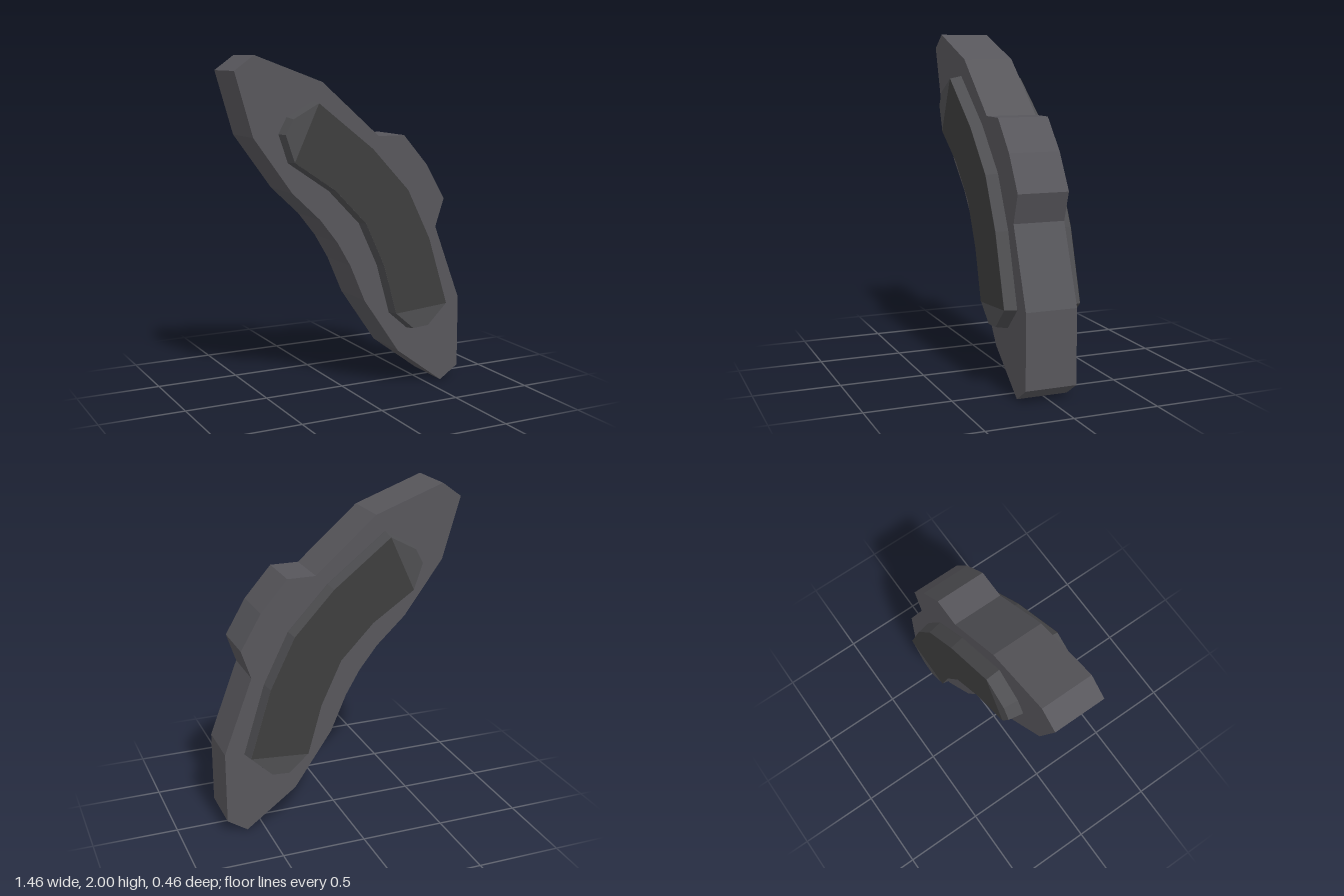
import * as THREE from 'three';

const shapeOf = (pts) => new THREE.Shape(pts.map(([x, y]) => new THREE.Vector2(x, y)));

// Outline of the curved carrier plate, clockwise from the top tip
const PLATE = [
  [-0.616, 2], [-0.204, 1.85], [0.16, 1.533], [0.33, 1.533], [0.49, 1.35], [0.612, 1.14],
  [0.555, 0.97], [0.727, 0.515], [0.727, 0.08], [0.606, 0], [0.3, 0.226], [0.07, 0.56],
  [-0.025, 0.78], [-0.11, 0.925], [-0.22, 1.065], [-0.395, 1.23], [-0.627, 1.55], [-0.733, 1.915],
];

// Outer and inner edges of the raised pad, both running top to bottom, and its end points
const OUTER = [[-0.26, 1.735], [0.083, 1.467], [0.32, 1.215], [0.468, 0.917], [0.595, 0.505]];
const INNER = [[-0.41, 1.41], [-0.158, 1.24], [0.04, 1.036], [0.162, 0.775], [0.246, 0.478]];
const BOTTOM_END = [[0.468, 0.382], [0.365, 0.375]];
const TOP_END = [[-0.463, 1.565], [-0.417, 1.65]];

export function createModel() {
  const group = new THREE.Group();
  const plateMat = new THREE.MeshStandardMaterial({ color: 0x57565b, flatShading: true });
  const padMat = new THREE.MeshStandardMaterial({ color: 0x4e4e51, flatShading: true });
  const liningMat = new THREE.MeshStandardMaterial({ color: 0x3e3e3e, side: THREE.DoubleSide });

  const add = (name, geometry, material, z) => {
    const mesh = new THREE.Mesh(geometry, material);
    mesh.name = name;
    mesh.position.z = z;
    group.add(mesh);
  };

  // Flat carrier plate
  add('plate', new THREE.ExtrudeGeometry(shapeOf(PLATE), { depth: 0.304, bevelEnabled: false }), plateMat, -0.146);

  // Raised pad with tapered sides, standing out of both faces of the plate
  const innerUp = [...INNER].reverse();
  add('pad', new THREE.ExtrudeGeometry(shapeOf([...OUTER, ...BOTTOM_END, ...innerUp, ...TOP_END]), {
    depth: 0.3, bevelThickness: 0.079, bevelSize: 0.014, bevelSegments: 1,
  }), padMat, -0.15);

  // Dark friction lining between the two pad ends, front and back
  const lining = new THREE.ShapeGeometry(shapeOf([...OUTER, ...innerUp]));
  add('frontLining', lining, liningMat, 0.2305);
  add('backLining', lining, liningMat, -0.2305);

  return group;
}
